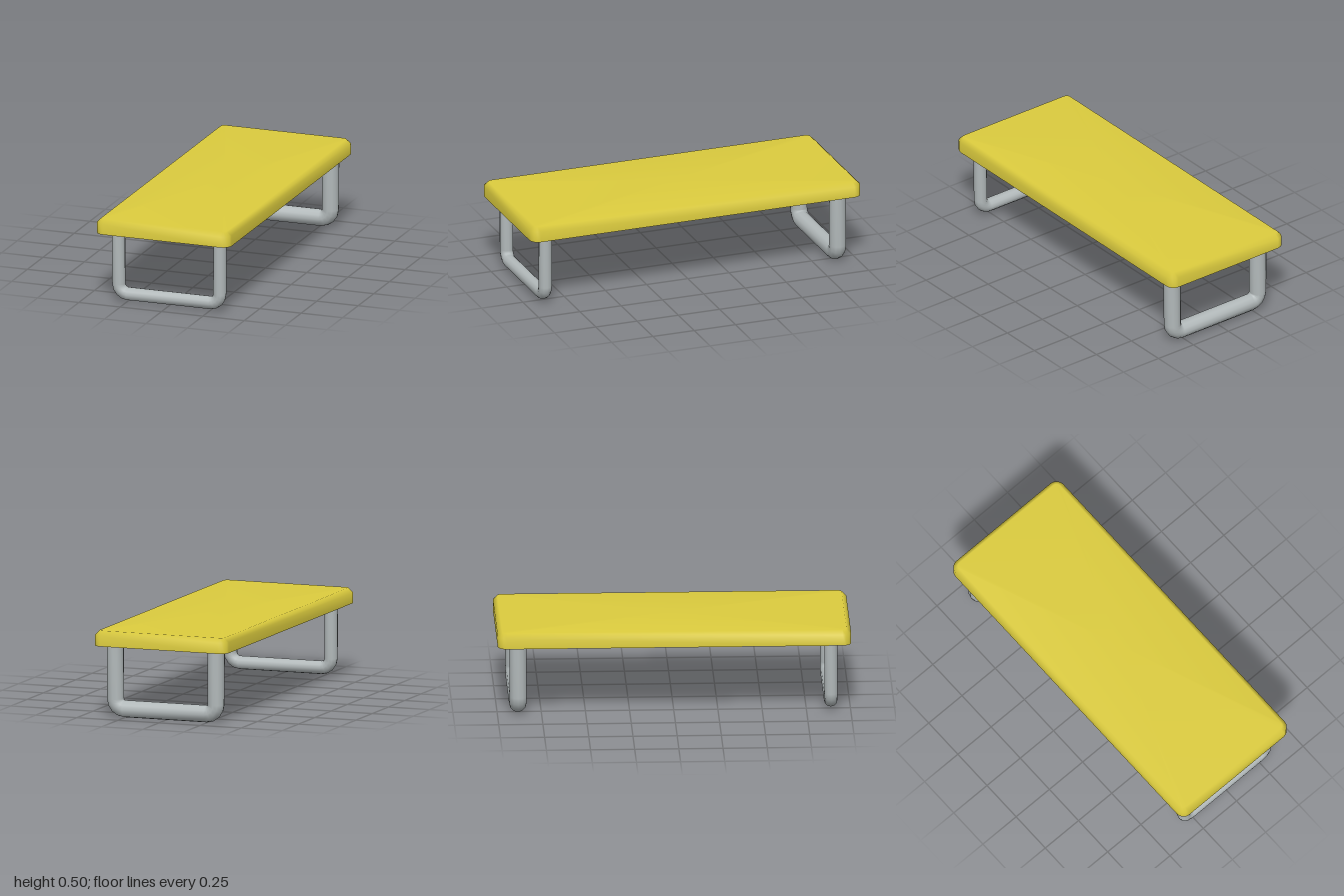
import * as THREE from 'three';

function makeGeometry(points, index) {
  const g = new THREE.BufferGeometry();
  g.setAttribute('position', new THREE.Float32BufferAttribute(points, 3));
  g.setIndex(index);
  g.computeVertexNormals();
  return g;
}

// Rounded slab: a straight wall, a chamfer and a softly shaded top, with a flat underside
function seatGeometry() {
  const halfX = 0.405, halfZ = 1, radius = 0.05, steps = 4;
  const points = [], index = [], count = 4 * (steps + 1);
  const addRing = (y, inset) => {
    for (let c = 0; c < 4; c++) {
      const sx = c === 0 || c === 3 ? 1 : -1, sz = c < 2 ? -1 : 1;
      for (let s = 0; s <= steps; s++) {
        const t = (c + s / steps) * Math.PI / 2, r = radius - inset;
        points.push(sx * (halfX - radius) + r * Math.cos(t), y, sz * (halfZ - radius) - r * Math.sin(t));
      }
    }
  };
  addRing(0.418, 0);
  addRing(0.48, 0);
  addRing(0.505, 0.026);
  addRing(0.418, 0); // separate ring keeps the lower edge sharp
  const top = count * 4, bottom = top + 1;
  points.push(0, 0.505, 0, 0, 0.418, 0);
  for (let j = 0; j < count; j++) {
    const k = (j + 1) % count;
    for (let i = 0; i < 2; i++) {
      const a = i * count, b = a + count;
      index.push(a + j, a + k, b + j, a + k, b + k, b + j);
    }
    index.push(2 * count + j, 2 * count + k, top);
    index.push(3 * count + k, 3 * count + j, bottom);
  }
  return makeGeometry(points, index);
}

// U-shaped round tube, swept from one top end round both bends to the other
function legGeometry(radius) {
  const sides = 12, bendSteps = 4, halfX = 0.305, barY = 0.051, bend = 0.056;
  const sections = [[halfX + 0.002, 0.43, 0]];
  for (const side of [1, -1]) {
    for (let s = 0; s <= bendSteps; s++) {
      const a = -Math.PI / 2 * (s / bendSteps + (side > 0 ? 0 : 1));
      sections.push([
        side * (halfX - bend) + bend * Math.cos(a),
        barY + bend + bend * Math.sin(a),
        a,
      ]);
    }
  }
  sections.push([-halfX - 0.002, 0.43, -Math.PI]);

  const points = [], index = [];
  sections.forEach(([x, y, a], i) => {
    for (let j = 0; j < sides; j++) {
      const t = j / sides * Math.PI * 2, out = radius * Math.cos(t);
      points.push(x + out * Math.cos(a), y + out * Math.sin(a), radius * Math.sin(t));
      if (i === 0) continue;
      const k = (j + 1) % sides, p = (i - 1) * sides, q = i * sides;
      index.push(p + j, p + k, q + j, p + k, q + k, q + j);
    }
  });
  return makeGeometry(points, index);
}

export function createModel() {
  const yellow = new THREE.MeshStandardMaterial({ color: 0xdccc3e });
  yellow.name = 'yellow seat';
  const grey = new THREE.MeshStandardMaterial({ color: 0xb2b9ba });
  grey.name = 'grey metal';

  const model = new THREE.Group();
  model.name = 'bench';
  const add = (name, geometry, material, x, z) => {
    const mesh = new THREE.Mesh(geometry, material);
    mesh.name = name;
    mesh.position.set(x, 0, z);
    model.add(mesh);
  };

  add('seat', seatGeometry(), yellow, 0, 0);
  // The front tube is slimmer than the back one
  add('frontLeg', legGeometry(0.038), grey, 0.005, 0.888);
  add('backLeg', legGeometry(0.049), grey, 0.005, -0.883);
  return model;
}
